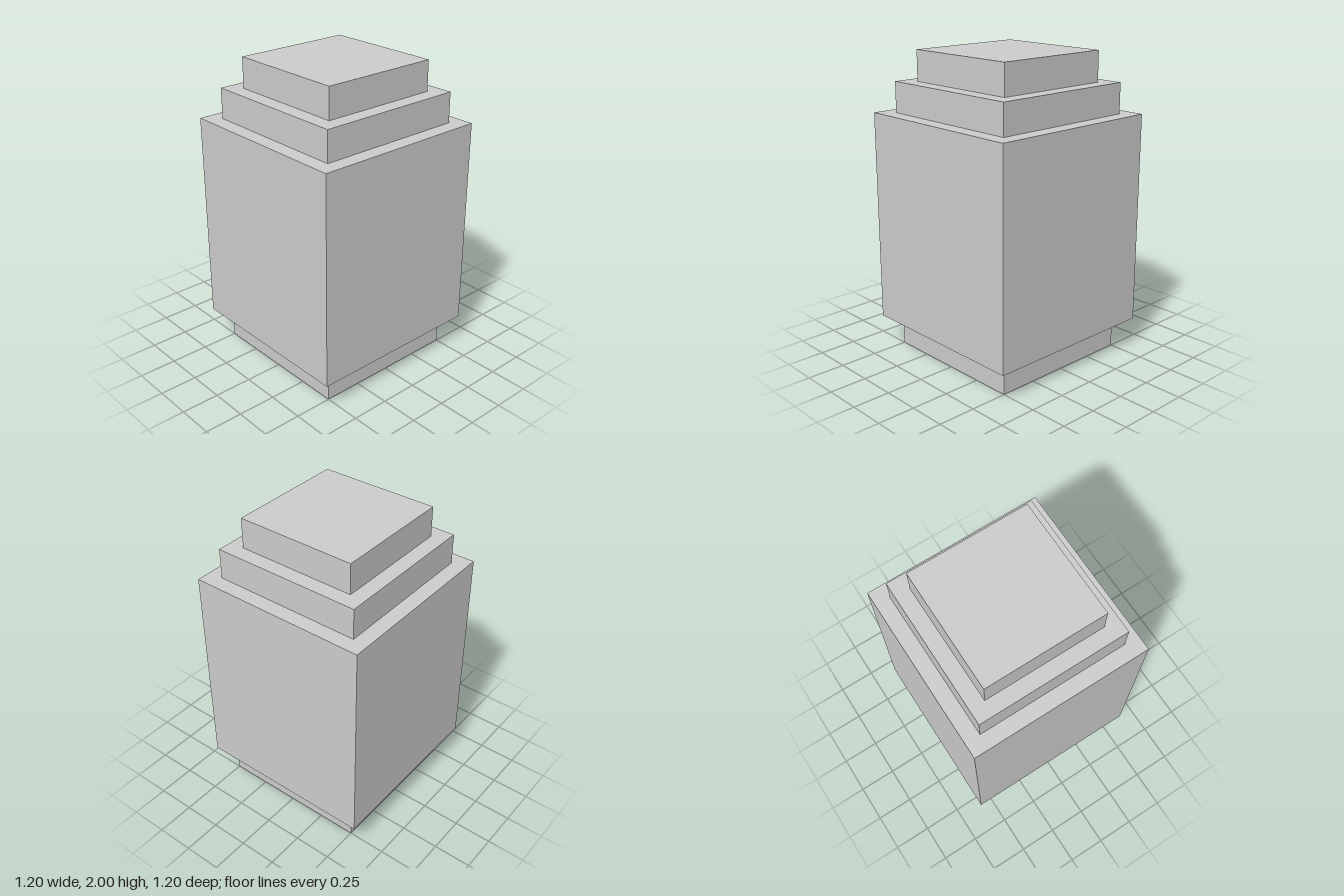
import * as THREE from 'three';

// Square tiers stacked from the ground up: name, width, bottom, top
const TIERS = [
  ['base', 1.0, 0.0, 0.2],
  ['body', 1.2, 0.2, 1.6],
  ['shoulder', 1.0, 1.6, 1.8],
  ['cap', 0.8, 1.8, 2.0],
];

export function createModel() {
  const model = new THREE.Group();
  model.name = 'steppedBlock';
  const material = new THREE.MeshStandardMaterial({ color: 0xcccccc, flatShading: true });

  for (const [name, width, bottom, top] of TIERS) {
    const tier = new THREE.Mesh(new THREE.BoxGeometry(width, top - bottom, width), material);
    tier.name = name;
    tier.position.y = (bottom + top) / 2;
    model.add(tier);
  }
  return model;
}
